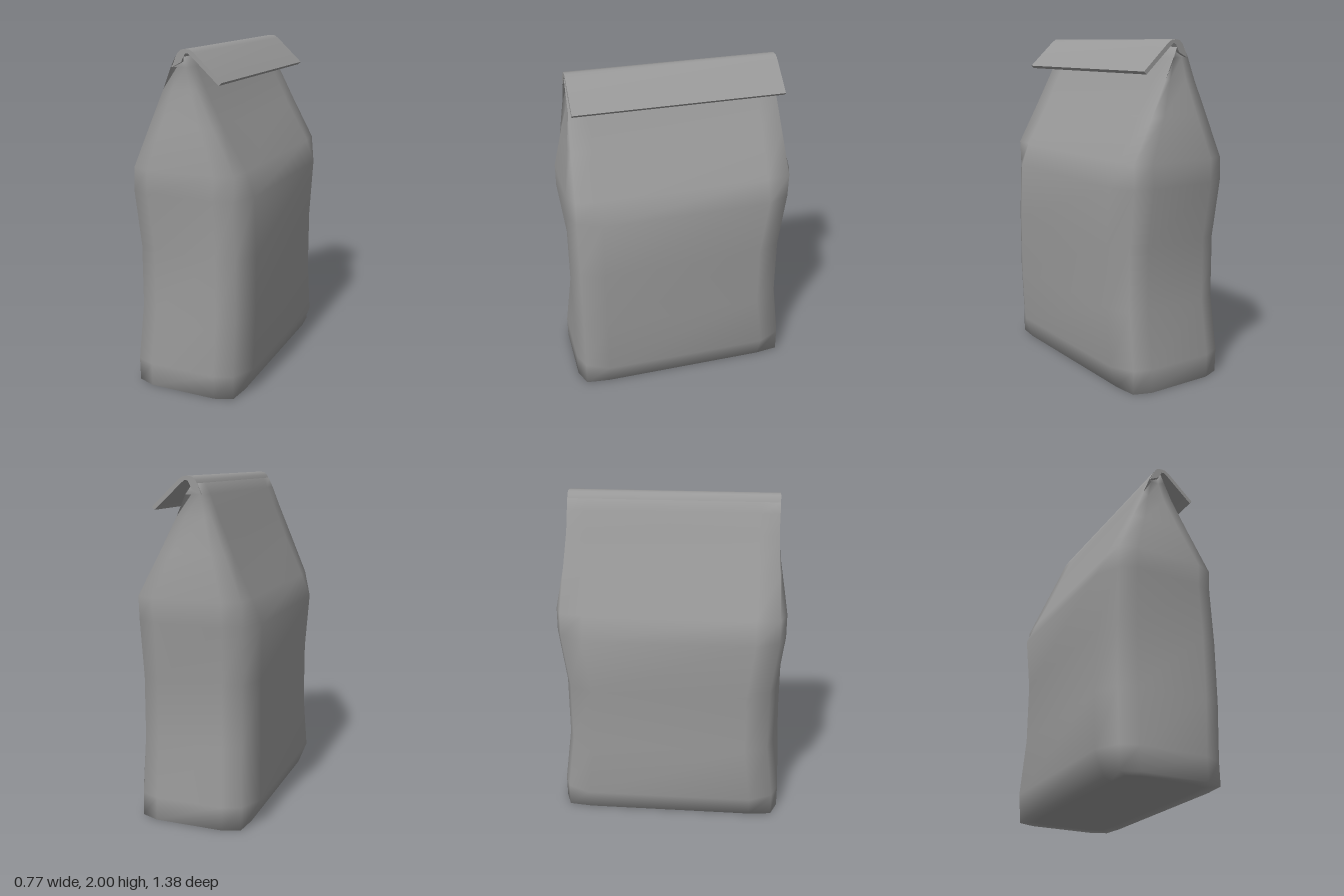
import * as THREE from 'three';
import { toCreasedNormals } from 'three/addons/utils/BufferGeometryUtils.js';

const material = new THREE.MeshStandardMaterial({ color: 0x999999, side: THREE.DoubleSide });

// Cross-sections: height, -x wall, +x wall, then the three points of a corner
// (two fractions of the half width, three depths), and whether the corners are dented
const sections = [
  [0, -0.26, 0.25, 0.63, 0.95, 0.62, 0.59, 0.46, 0],
  [0, -0.33, 0.32, 0.63, 0.95, 0.69, 0.65, 0.51, 0],
  [0.14, -0.385, 0.37, 0.54, 0.82, 0.69, 0.65, 0.51, 0],
  [0.48, -0.37, 0.384, 0.54, 0.82, 0.69, 0.65, 0.51, 1],
  [0.85, -0.37, 0.384, 0.54, 0.82, 0.69, 0.65, 0.51, 1],
  [1.19, -0.385, 0.37, 0.54, 0.82, 0.69, 0.65, 0.51, 0],
  [1.33, -0.325, 0.32, 0.64, 0.96, 0.69, 0.65, 0.51, 0],
  [1.58, -0.21, 0.175, 0.6, 1, 0.648, 0.637, 0.51, 0],
  [1.78, -0.128, 0.075, 0.55, 1, 0.607, 0.624, 0.51, 0],
  [1.9, -0.08, 0.022, 0.5, 1, 0.6, 0.624, 0.51, 0],
  [1.96, -0.05, -0.002, 0.5, 1, 0.605, 0.624, 0.51, 0],
];

// Three points round each of the four corners, running from +z towards +x
function sectionPoints([y, xl, xr, innerX, midX, innerZ, midZ, outerZ, dent]) {
  const mid = (xl + xr) / 2, half = (xr - xl) / 2;
  const corner = (sx, sz) => {
    const dented = dent && !(sx > 0 && sz > 0);
    const dz = dented ? 0.042 : 0;
    const h = half - (dented && sx > 0 ? 0.02 : 0);
    return [[innerX, innerZ], [midX, midZ], [1, outerZ]]
      .map(([f, z]) => [mid + sx * f * h, y, sz * (z - dz)]);
  };
  return [
    ...corner(1, 1), ...corner(1, -1).reverse(),
    ...corner(-1, -1), ...corner(-1, 1).reverse(),
  ];
}

// Skin through all sections, closed at bottom and top
function bagGeometry() {
  const rings = sections.map(sectionPoints);
  const n = rings[0].length, last = rings.length - 1;
  const points = rings.flat(), index = [];
  for (let i = 0; i < last; i++) {
    for (let j = 0; j < n; j++) {
      const a = i * n + j, b = i * n + (j + 1) % n;
      index.push(a, b, b + n, a, b + n, a + n);
    }
  }
  const bottom = points.push([0, 0, 0]) - 1;
  const top = points.push([-0.025, 1.96, 0]) - 1;
  for (let j = 0; j < n; j++) {
    const k = (j + 1) % n;
    index.push(bottom, k, j, top, last * n + j, last * n + k);
  }
  const geometry = new THREE.BufferGeometry();
  geometry.setAttribute('position', new THREE.Float32BufferAttribute(points.flat(), 3));
  geometry.setIndex(index);
  geometry.computeVertexNormals();
  return geometry;
}

// Thin strip that bends over the ridge and hangs down on the +x side
function flapGeometry() {
  const outline = [
    [-0.072, 1.9], [-0.053, 1.95], [-0.038, 1.978], [-0.018, 1.996], [0.01, 2], [0.035, 1.998],
    [0.06, 1.982], [0.224, 1.829], [0.207, 1.813], [0.045, 1.962], [0.025, 1.977], [0.008, 1.975],
    [-0.004, 1.955], [-0.015, 1.93],
  ].map(([x, y]) => new THREE.Vector2(x, y));
  const geometry = new THREE.ExtrudeGeometry(new THREE.Shape(outline), { depth: 1.25, bevelEnabled: false });
  geometry.translate(0, 0, -0.625);
  return toCreasedNormals(geometry, 0.9);
}

export function createModel() {
  const group = new THREE.Group();
  group.name = 'paperBag';
  const body = new THREE.Mesh(bagGeometry(), material);
  body.name = 'bagBody';
  const flap = new THREE.Mesh(flapGeometry(), material);
  flap.name = 'foldedFlap';
  group.add(body, flap);
  return group;
}
